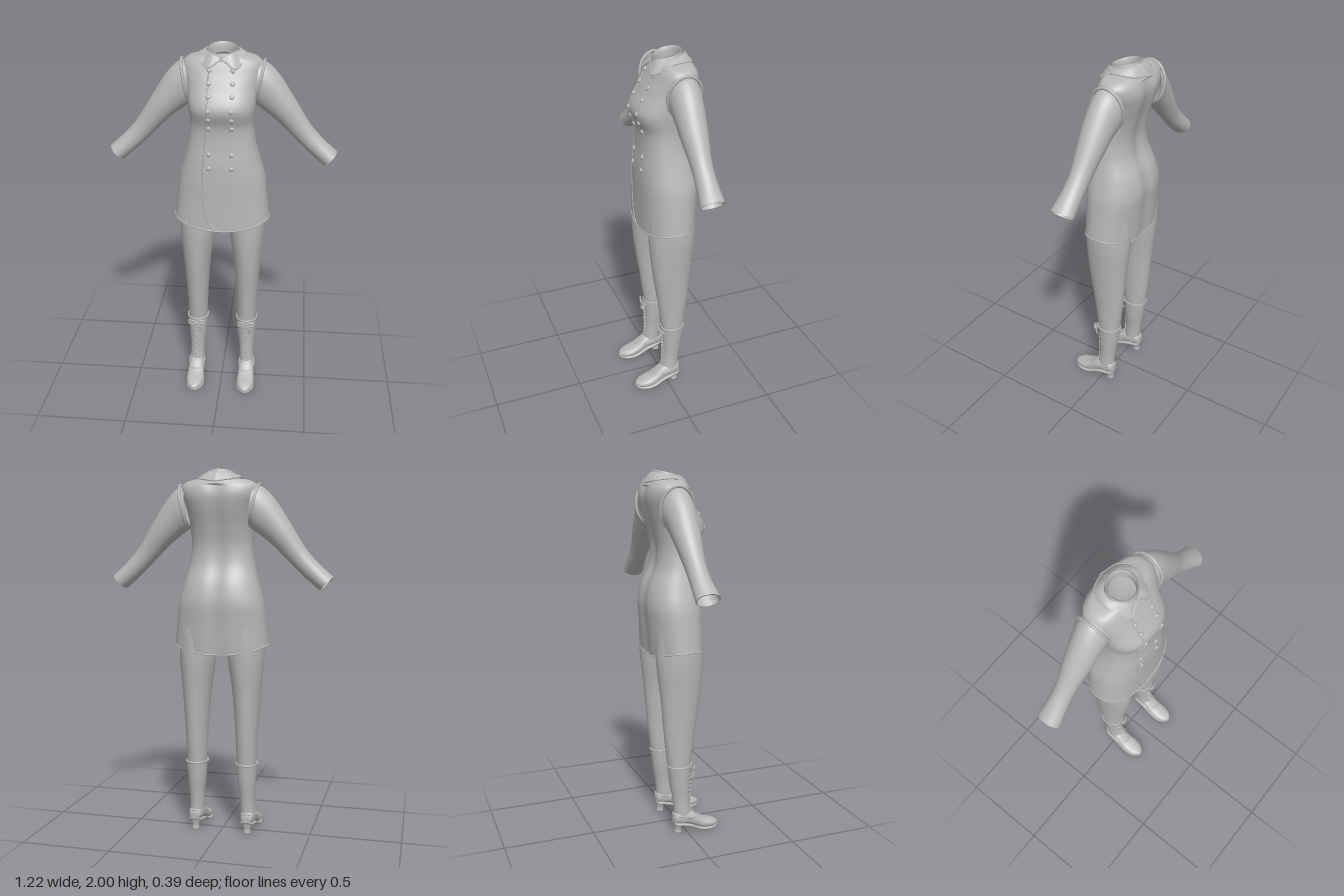
import * as THREE from 'three';

const V = (x, y, z) => new THREE.Vector3(x, y, z);
const grey = new THREE.MeshStandardMaterial({ color: 0xb8b8b8, side: THREE.DoubleSide });
grey.name = 'grey cloth';

function mesh(name, geometry) {
  const m = new THREE.Mesh(geometry, grey);
  m.name = name;
  return m;
}

// Spline-interpolate rows of section parameters
function smooth(rows, steps = 6) {
  const out = [];
  const at = i => rows[Math.max(0, Math.min(rows.length - 1, i))];
  for (let i = 0; i < rows.length - 1; i++) {
    for (let s = 0; s < steps; s++) {
      const t = s / steps;
      out.push(rows[i].map((b, k) => {
        const a = at(i - 1)[k], c = at(i + 1)[k], d = at(i + 2)[k];
        return 0.5 * (2 * b + (c - a) * t + (2 * a - 5 * b + 4 * c - d) * t * t + (3 * b - a - 3 * c + d) * t * t * t);
      }));
    }
  }
  out.push(rows[rows.length - 1]);
  return out;
}

// Skin closed (or open) rings of points, optionally capping the ends
function loft(rings, { closed = true, caps = false } = {}) {
  const n = rings[0].length, pos = [], idx = [];
  rings.forEach(r => r.forEach(p => pos.push(p.x, p.y, p.z)));
  const span = closed ? n : n - 1;
  for (let i = 0; i < rings.length - 1; i++) {
    for (let j = 0; j < span; j++) {
      const a = i * n + j, b = i * n + (j + 1) % n;
      idx.push(a, a + n, b, b, a + n, b + n);
    }
  }
  if (caps) {
    [0, rings.length - 1].forEach(i => {
      const c = V(0, 0, 0), o = pos.length / 3;
      rings[i].forEach(p => c.addScaledVector(p, 1 / n));
      [c, ...rings[i]].forEach(p => pos.push(p.x, p.y, p.z));
      for (let j = 0; j < n; j++) {
        const a = o + 1 + j, b = o + 1 + (j + 1) % n;
        if (i === 0) idx.push(o, a, b); else idx.push(o, b, a);
      }
    });
  }
  const g = new THREE.BufferGeometry();
  g.setAttribute('position', new THREE.Float32BufferAttribute(pos, 3));
  g.setIndex(idx);
  g.computeVertexNormals();
  return g;
}

const ring = (n, fn) => Array.from({ length: n }, (_, j) => {
  const a = -j / n * Math.PI * 2;
  return fn(Math.cos(a), Math.sin(a));
});
const pow = (v, e) => Math.sign(v) * Math.abs(v) ** (2 / e);
const oval = (n, cx, y, hw, zf, zb, e = 2) => ring(n, (c, s) =>
  V(cx + hw * pow(c, e), y, (zf + zb) / 2 + (zf - zb) / 2 * pow(s, e)));
const tube = (name, points, r, closed = false) => mesh(name,
  new THREE.TubeGeometry(new THREE.CatmullRomCurve3(points, closed), points.length * 5, r, 6, closed));

// Coat: height, half width, front z, back z
const coatRows = smooth([
  [1.065, 0.26, 0.115, -0.172], [1.2, 0.245, 0.115, -0.186], [1.3, 0.232, 0.117, -0.195],
  [1.4, 0.205, 0.115, -0.178], [1.5, 0.18, 0.106, -0.138], [1.6, 0.168, 0.108, -0.13],
  [1.7, 0.176, 0.138, -0.15], [1.8, 0.187, 0.09, -0.178], [1.86, 0.203, 0.058, -0.188],
  [1.905, 0.207, 0.036, -0.18], [1.932, 0.185, 0.022, -0.165], [1.945, 0.15, 0.015, -0.155],
  [1.957, 0.08, 0.015, -0.13]]);
const COAT_E = 2.4;

function coatFront(x, y) {
  let i = coatRows.findIndex(r => r[0] >= y);
  if (i < 0) i = coatRows.length - 1;
  const b = coatRows[i], a = coatRows[Math.max(0, i - 1)];
  const t = i ? (y - a[0]) / (b[0] - a[0]) : 0;
  const [, hw, zf, zb] = a.map((v, k) => v + (b[k] - v) * t);
  return (zf + zb) / 2 + (zf - zb) / 2 * Math.max(0, 1 - Math.abs(x / hw) ** COAT_E) ** (1 / COAT_E);
}

function buildCoat() {
  const g = new THREE.Group();
  g.name = 'coat';
  const rings = coatRows.map(([y, hw, zf, zb]) => oval(64, 0, y, hw, zf, zb, COAT_E).map(p => {
    const low = Math.max(0, 1 - (y - 1.065) / 0.2);
    const groove = p.z < -0.06 && y < 1.92 ? 0.014 * Math.exp(-((p.x / 0.04) ** 2)) : 0;
    return V(p.x, y - 0.046 * low * (1 - (p.x / hw) ** 2), p.z + groove);
  }));
  g.add(mesh('coatBody', loft(rings)));
  g.add(tube('hemEdge', rings[0].filter((_, i) => i % 2 === 0), 0.004, true));

  // Overlapping front edge
  const edge = [[-0.065, 1.9], [-0.065, 1.8], [-0.068, 1.7], [-0.075, 1.6], [-0.083, 1.5], [-0.091, 1.4],
    [-0.095, 1.3], [-0.093, 1.2], [-0.082, 1.12], [-0.06, 1.06], [-0.02, 1.025]];
  g.add(tube('frontEdge', edge.map(([x, y]) => V(x, y, coatFront(x, y))), 0.004));

  // Two columns of buttons
  for (const x of [-0.06, 0.06]) {
    for (const y of [1.89, 1.83, 1.77, 1.7, 1.65, 1.6, 1.46, 1.385]) {
      const b = mesh('button', new THREE.SphereGeometry(0.013, 14, 8));
      b.scale.z = 0.6;
      b.position.set(x, y, coatFront(x, y) + 0.003);
      b.rotation.x = Math.atan2(coatFront(x, y + 0.02) - coatFront(x, y - 0.02), 0.04);
      g.add(b);
    }
  }

  // Standing collar, tilted up towards the back
  const stand = [[0.083, 1.935], [0.08, 1.96], [0.077, 1.983], [0.071, 1.983], [0.066, 1.96], [0.066, 1.93]];
  g.add(mesh('standCollar', loft(stand.map(([r, y]) =>
    ring(40, (c, s) => V(r * c, y - 0.017 * s, -0.053 + r * 0.95 * s))))));
  return g;
}

// One side of the turned-down collar
function buildCollarHalf() {
  const g = new THREE.Group();
  g.name = 'collarFlap';
  const line = pts => new THREE.CatmullRomCurve3(pts.map(p => V(...p)), false, 'centripetal').getPoints(32);
  const inner = line([[0.003, 1.947, 0.03], [0.05, 1.968, 0.014], [0.084, 1.972, -0.055], [0.058, 1.985, -0.115], [0, 1.99, -0.134]]);
  const outer = line([[0.012, 1.937, 0.038], [0.073, 1.9, 0.052], [0.12, 1.956, -0.05], [0.085, 1.948, -0.145], [0, 1.935, -0.178]]);
  const middle = inner.map((p, i) => p.clone().lerp(outer[i], 0.5).add(V(0, 0.006, 0)));
  g.add(mesh('collarCloth', loft([inner, middle, outer], { closed: false })));
  g.add(tube('collarEdge', outer.filter((_, i) => i % 2 === 0), 0.004));
  return g;
}

function buildSleeve() {
  const g = new THREE.Group();
  g.name = 'sleeve';
  // Upper edge x, y; lower edge x, y; middle z, half depth
  const rows = smooth([
    [0.19, 1.92, 0.16, 1.7, -0.068, 0.084], [0.235, 1.905, 0.185, 1.68, -0.068, 0.084],
    [0.3, 1.84, 0.22, 1.655, -0.065, 0.078], [0.375, 1.727, 0.285, 1.605, -0.063, 0.07],
    [0.46, 1.592, 0.375, 1.516, -0.062, 0.054], [0.53, 1.512, 0.452, 1.442, -0.06, 0.054],
    [0.61, 1.44, 0.54, 1.367, -0.056, 0.064]]);
  const section = ([ux, uy, lx, ly, z, d], k = 1) => ring(32, (c, s) =>
    V((ux + lx) / 2 + k * c * (ux - lx) / 2, (uy + ly) / 2 + k * c * (uy - ly) / 2, z + k * d * s));
  const last = rows[rows.length - 1];
  g.add(mesh('sleeveCloth', loft(rows.map(r => section(r)))));
  g.add(mesh('cuffLining', loft([section(last), section(last, 0.9), section(rows[rows.length - 7], 0.88)])));
  // Raised armhole seam
  const hole = [0.216, 1.922, 0.174, 1.7, -0.068, 0.09];
  g.add(tube('armholeSeam', section(hole).filter((_, i) => i % 2 === 0), 0.008, true));
  return g;
}

function buildLeg() {
  const rows = smooth([
    [0.38, 0.143, 0.054, 0.026, -0.1], [0.5, 0.143, 0.058, 0.042, -0.115], [0.6, 0.143, 0.063, 0.055, -0.125],
    [0.8, 0.142, 0.078, 0.084, -0.142], [1, 0.136, 0.099, 0.1, -0.163], [1.2, 0.13, 0.1, 0.095, -0.165]]);
  return mesh('trouserLeg', loft(rows.map(([y, x, hw, f, b]) => oval(32, x, y, hw, f, b)), { caps: true }));
}

function buildBoot() {
  const g = new THREE.Group();
  g.name = 'boot';
  const shaftRows = smooth([
    [0.07, 0.15, 0.04, 0.04, -0.07], [0.12, 0.148, 0.041, 0.03, -0.068], [0.2, 0.146, 0.042, 0.022, -0.076],
    [0.3, 0.144, 0.052, 0.025, -0.092], [0.4, 0.144, 0.06, 0.032, -0.104]]);
  g.add(mesh('bootShaft', loft(shaftRows.map(([y, x, hw, f, b]) => oval(32, x, y, hw, f, b)))));
  g.add(tube('bootTopEdge', oval(16, 0.144, 0.397, 0.059, 0.031, -0.103), 0.005, true));

  // Foot: z, half width, bottom, top
  const footRows = smooth([
    [-0.076, 0.014, 0.068, 0.095], [-0.064, 0.034, 0.055, 0.12], [-0.02, 0.041, 0.048, 0.13], [0.03, 0.043, 0.034, 0.12],
    [0.08, 0.048, 0.013, 0.082], [0.12, 0.05, 0.007, 0.062], [0.16, 0.042, 0.007, 0.05], [0.188, 0.022, 0.008, 0.037],
    [0.198, 0.005, 0.012, 0.024]], 4);
  g.add(mesh('foot', loft(footRows.map(([z, hw, lo, hi]) =>
    ring(28, (c, s) => V(0.15 + hw * pow(c, 2.3), (lo + hi) / 2 + (hi - lo) / 2 * pow(s, 2.3), z))), { caps: true })));
  g.add(mesh('sole', loft(footRows.map(([z, hw, lo]) =>
    ring(16, (c, s) => V(0.15 + hw * 1.03 * pow(c, 5), lo + 0.001 + 0.007 * pow(s, 5), z))), { caps: true })));

  // Flared heel
  const heel = smooth([[0, 0.02, -0.026, -0.068], [0.02, 0.019, -0.027, -0.066], [0.045, 0.027, -0.012, -0.07], [0.07, 0.036, 0.015, -0.075]], 4);
  g.add(mesh('heel', loft(heel.map(([y, hw, f, b]) => oval(24, 0.15, y, hw, f, b, 2.4)), { caps: true })));

  // Seam running round the foot
  g.add(tube('footSeam', ring(16, (c, s) => V(0.15 + 0.044 * c, 0.094 - 0.016 * s, 0.005 + 0.079 * s)), 0.005, true));

  // Crossed laces down the front
  const front = y => {
    const i = Math.max(1, shaftRows.findIndex(r => r[0] >= y));
    return shaftRows[i][3] + 0.003;
  };
  for (let y = 0.12; y < 0.35; y += 0.024) {
    for (const s of [-1, 1]) {
      g.add(tube('lace', [V(0.146 - s * 0.014, y, front(y) - 0.002), V(0.146, y + 0.01, front(y) + 0.002),
        V(0.146 + s * 0.014, y + 0.02, front(y + 0.02) - 0.002)], 0.003));
    }
  }

  // Bow with two loops and two tails
  for (const s of [-1, 1]) {
    const p = (x, y, z) => V(0.145 + s * x, y, z);
    g.add(tube('bowLoop', [p(0, 0.375, 0.037), p(0.025, 0.392, 0.044), p(0.048, 0.388, 0.034), p(0.045, 0.372, 0.034), p(0.02, 0.37, 0.042)], 0.005, true));
    g.add(tube('bowTail', [p(0, 0.375, 0.038), p(0.016, 0.355, 0.042), p(0.022, 0.335, 0.04), p(0.02, 0.315, 0.036)], 0.005));
  }
  const knot = mesh('bowKnot', new THREE.SphereGeometry(0.009, 10, 8));
  knot.position.set(0.145, 0.375, 0.038);
  g.add(knot);
  return g;
}

export function createModel() {
  const model = new THREE.Group();
  model.name = 'outfit';
  model.add(buildCoat());
  for (const side of [1, -1]) {
    const half = new THREE.Group();
    half.name = side > 0 ? 'leftSide' : 'rightSide';
    half.add(buildCollarHalf(), buildSleeve(), buildLeg(), buildBoot());
    half.scale.x = side;
    model.add(half);
  }
  return model;
}
